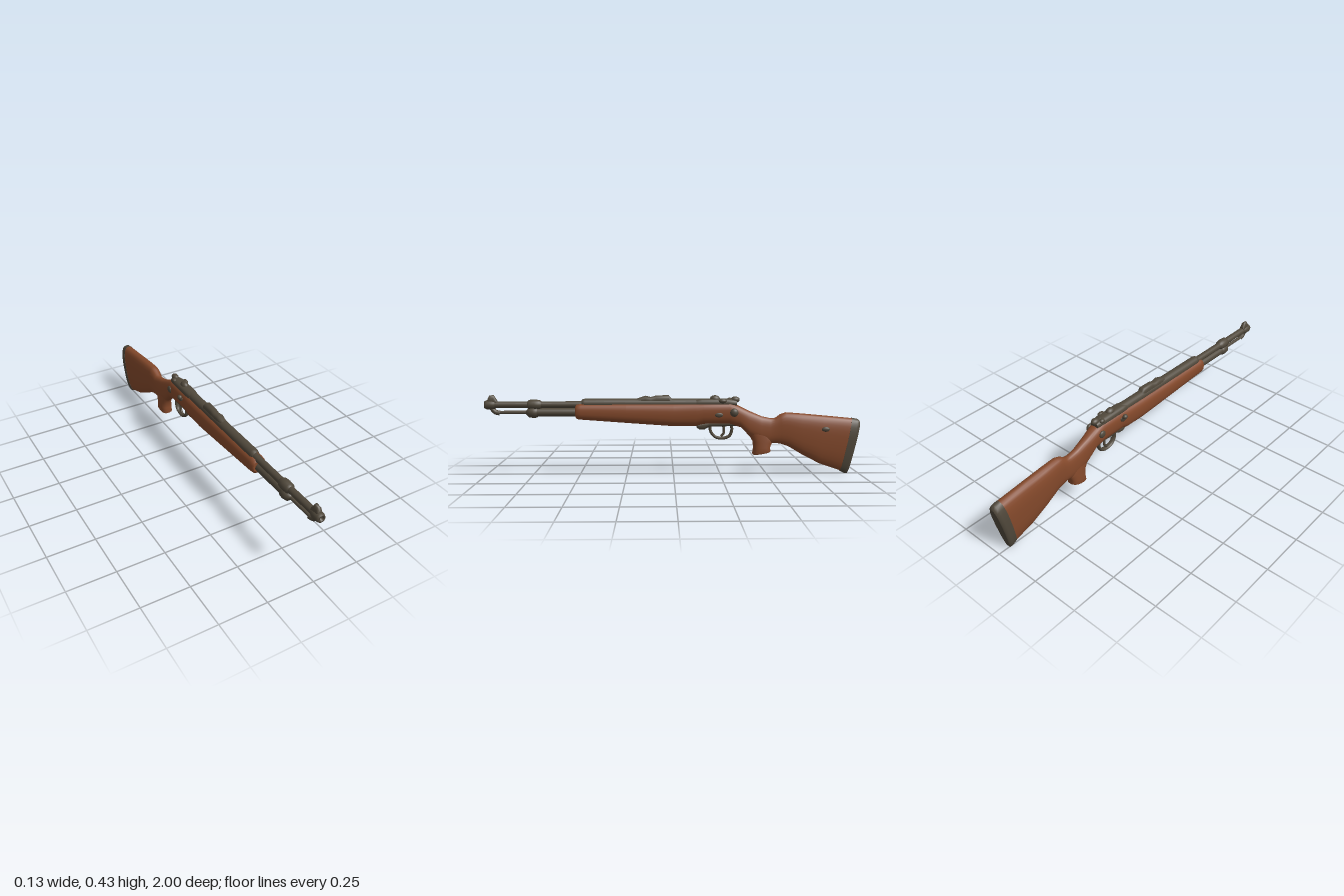
import * as THREE from 'three';

const wood = new THREE.MeshStandardMaterial({ color: 0x84492b });
wood.name = 'wood';
const metal = new THREE.MeshStandardMaterial({ color: 0x50483b });
metal.name = 'darkMetal';

// Skin through cross-sections [zA, yA, zB, yB, halfWidthA, halfWidthB]; A is the upper (or rear) edge
function loft(sections, power = 2.5, n = 28) {
  const pos = [], idx = [];
  const bend = v => Math.sign(v) * Math.pow(Math.abs(v), 2 / power);
  const ring = ([zA, yA, zB, yB, wA, wB]) => {
    for (let j = 0; j < n; j++) {
      const t = (j / n) * Math.PI * 2;
      const k = (1 + bend(Math.cos(t))) / 2;
      pos.push(bend(Math.sin(t)) * (wB + (wA - wB) * k), yB + (yA - yB) * k, zB + (zA - zB) * k);
    }
  };
  sections.forEach(ring);
  for (let i = 0; i < sections.length - 1; i++) {
    for (let j = 0; j < n; j++) {
      const a = i * n + j, b = i * n + (j + 1) % n;
      idx.push(a, b, a + n, b, b + n, a + n);
    }
  }
  // End caps with their own corners
  [sections[0], sections[sections.length - 1]].forEach((s, end) => {
    const base = pos.length / 3;
    ring(s);
    pos.push(0, (s[1] + s[3]) / 2, (s[0] + s[2]) / 2);
    for (let j = 0; j < n; j++) {
      const a = base + j, b = base + (j + 1) % n;
      idx.push(base + n, end ? a : b, end ? b : a);
    }
  });
  const g = new THREE.BufferGeometry();
  g.setAttribute('position', new THREE.Float32BufferAttribute(pos, 3));
  g.setIndex(idx);
  g.computeVertexNormals();
  return g;
}

export function createModel() {
  const model = new THREE.Group();
  model.name = 'rifle';
  const body = new THREE.Group();
  body.name = 'body';
  body.position.x = 0.004;
  model.add(body);

  const add = (name, geometry, material = metal) => {
    const m = new THREE.Mesh(geometry, material);
    m.name = name;
    body.add(m);
    return m;
  };
  // Turned part along z from [radius, z] points, listed back to front
  const turned = (name, y, points) => {
    const pts = points.map(([r, z]) => new THREE.Vector2(r, z));
    const m = add(name, new THREE.LatheGeometry(pts, 24));
    m.rotation.x = Math.PI / 2;
    m.position.y = y;
    return m;
  };
  const blob = (name, x, y, z, sx, sy, sz, material = metal) => {
    const m = add(name, new THREE.SphereGeometry(1, 20, 14), material);
    m.position.set(x, y, z);
    m.scale.set(sx, sy, sz);
    return m;
  };
  const tube = (name, points, r) => {
    const curve = new THREE.CatmullRomCurve3(points.map(p => new THREE.Vector3(...p)));
    return add(name, new THREE.TubeGeometry(curve, 32, r, 10));
  };

  // Wooden stock from fore-end to butt
  add('stock', loft([
    [0.52, 0.372, 0.52, 0.312, 0.032, 0.03],
    [0.512, 0.383, 0.514, 0.301, 0.040, 0.037],
    [0.49, 0.385, 0.49, 0.298, 0.042, 0.04],
    [0.25, 0.386, 0.25, 0.28, 0.043, 0.042],
    [0, 0.386, 0, 0.262, 0.045, 0.042],
    [-0.12, 0.388, -0.12, 0.262, 0.045, 0.04],
    [-0.16, 0.39, -0.16, 0.274, 0.045, 0.04],
    [-0.30, 0.392, -0.30, 0.272, 0.044, 0.04],
    [-0.34, 0.375, -0.36, 0.255, 0.04, 0.038],
    [-0.40, 0.345, -0.41, 0.205, 0.034, 0.034],
    [-0.47, 0.314, -0.47, 0.172, 0.028, 0.032],
    [-0.52, 0.303, -0.51, 0.166, 0.026, 0.03],
    [-0.545, 0.306, -0.55, 0.17, 0.028, 0.031],
    [-0.57, 0.325, -0.58, 0.164, 0.033, 0.033],
    [-0.60, 0.335, -0.62, 0.15, 0.037, 0.034],
    [-0.68, 0.329, -0.70, 0.102, 0.041, 0.035],
    [-0.80, 0.318, -0.79, 0.056, 0.042, 0.034],
    [-0.955, 0.303, -0.90, 0.019, 0.042, 0.032],
  ]), wood);

  // Pistol grip below the wrist
  add('grip', loft([
    [-0.50, 0.26, -0.36, 0.26, 0.025, 0.03],
    [-0.535, 0.2, -0.405, 0.215, 0.028, 0.032],
    [-0.528, 0.168, -0.424, 0.18, 0.031, 0.033],
    [-0.518, 0.145, -0.428, 0.145, 0.034, 0.034],
    [-0.523, 0.126, -0.423, 0.112, 0.035, 0.035],
    [-0.515, 0.12, -0.43, 0.106, 0.031, 0.031],
  ]), wood);

  add('buttPad', loft([
    [-0.954, 0.305, -0.898, 0.017, 0.043, 0.033],
    [-0.985, 0.299, -0.925, 0.003, 0.043, 0.033],
    [-0.996, 0.292, -0.936, 0.003, 0.040, 0.03],
    [-1.0, 0.28, -0.942, 0.012, 0.034, 0.024],
  ]));

  // Barrel, muzzle and tubes
  turned('barrel', 0.378, [[0, -0.3], [0.018, -0.3], [0.018, 0.94], [0.023, 0.95], [0.025, 0.97],
    [0.024, 0.99], [0.02, 1.0], [0.011, 1.0], [0.01, 0.985], [0, 0.985]]);
  turned('barrelSleeve', 0.384, [[0, -0.33], [0.022, -0.325], [0.026, -0.31], [0.026, 0.47],
    [0.022, 0.485], [0.017, 0.488]]);
  turned('magazineTube', 0.337, [[0, 0.4], [0.022, 0.4], [0.022, 0.72], [0.028, 0.725],
    [0.03, 0.745], [0.026, 0.768], [0.012, 0.78], [0.009, 0.785], [0.009, 0.945], [0, 0.945]]);
  turned('barrelBand', 0.378, [[0.018, 0.7], [0.025, 0.71], [0.028, 0.735], [0.026, 0.765], [0.018, 0.775]]);
  blob('bandLink', 0, 0.36, 0.745, 0.018, 0.03, 0.025);
  tube('rodLink', [[0, 0.333, 0.92], [0, 0.34, 0.945], [0, 0.362, 0.965]], 0.013);

  // Sights
  add('frontSight', loft([
    [0.985, 0.405, 0.985, 0.38, 0.012, 0.016],
    [0.975, 0.427, 0.975, 0.38, 0.012, 0.018],
    [0.952, 0.43, 0.952, 0.38, 0.012, 0.018],
    [0.935, 0.402, 0.935, 0.38, 0.012, 0.016],
  ]));
  add('rearSight', loft([
    [0.2, 0.408, 0.2, 0.385, 0.016, 0.02],
    [0.15, 0.425, 0.15, 0.385, 0.02, 0.024],
    [0.12, 0.418, 0.12, 0.385, 0.018, 0.024],
    [0.09, 0.427, 0.09, 0.385, 0.018, 0.024],
    [0.025, 0.427, 0.025, 0.385, 0.02, 0.024],
    [0.01, 0.41, 0.01, 0.385, 0.016, 0.02],
  ]));

  // Receiver and bolt
  add('receiver', loft([
    [-0.12, 0.406, -0.12, 0.37, 0.024, 0.03],
    [-0.15, 0.41, -0.15, 0.37, 0.029, 0.034],
    [-0.29, 0.41, -0.29, 0.37, 0.028, 0.034],
    [-0.335, 0.402, -0.335, 0.37, 0.02, 0.028],
  ]));
  blob('receiverBridge', 0, 0.405, -0.22, 0.02, 0.022, 0.028);
  blob('boltShroud', 0, 0.403, -0.328, 0.018, 0.017, 0.025);
  blob('safetyLever', 0.026, 0.398, -0.26, 0.014, 0.013, 0.022);
  blob('boltEar', -0.02, 0.4, -0.3, 0.013, 0.012, 0.016);
  tube('boltHandle', [[-0.02, 0.362, -0.18], [-0.045, 0.352, -0.178], [-0.052, 0.36, -0.174], [-0.057, 0.372, -0.17]], 0.01);
  blob('boltKnob', -0.057, 0.373, -0.17, 0.0125, 0.0125, 0.014);

  // Side screws and plates
  blob('leftScrew', 0.046, 0.338, -0.32, 0.015, 0.022, 0.022);
  blob('rightScrew', -0.04, 0.338, -0.32, 0.01, 0.02, 0.02);
  blob('leftPlate', 0.042, 0.325, -0.24, 0.005, 0.012, 0.022);
  blob('buttPlate', 0.037, 0.247, -0.81, 0.008, 0.013, 0.022);

  // Trigger and guard
  tube('triggerGuard', [[0, 0.275, -0.195], [0, 0.235, -0.198], [0, 0.205, -0.222], [0, 0.196, -0.26],
    [0, 0.208, -0.298], [0, 0.24, -0.312], [0, 0.275, -0.308]], 0.008).scale.x = 1.7;
  tube('trigger', [[0, 0.275, -0.262], [0, 0.245, -0.27], [0, 0.222, -0.268], [0, 0.207, -0.255]], 0.007);
  add('floorPlate', loft([
    [-0.12, 0.275, -0.125, 0.252, 0.016, 0.012],
    [-0.14, 0.275, -0.14, 0.243, 0.018, 0.014],
    [-0.165, 0.28, -0.165, 0.243, 0.018, 0.014],
    [-0.19, 0.285, -0.19, 0.258, 0.02, 0.018],
    [-0.33, 0.285, -0.33, 0.262, 0.02, 0.018],
  ]));

  return model;
}
